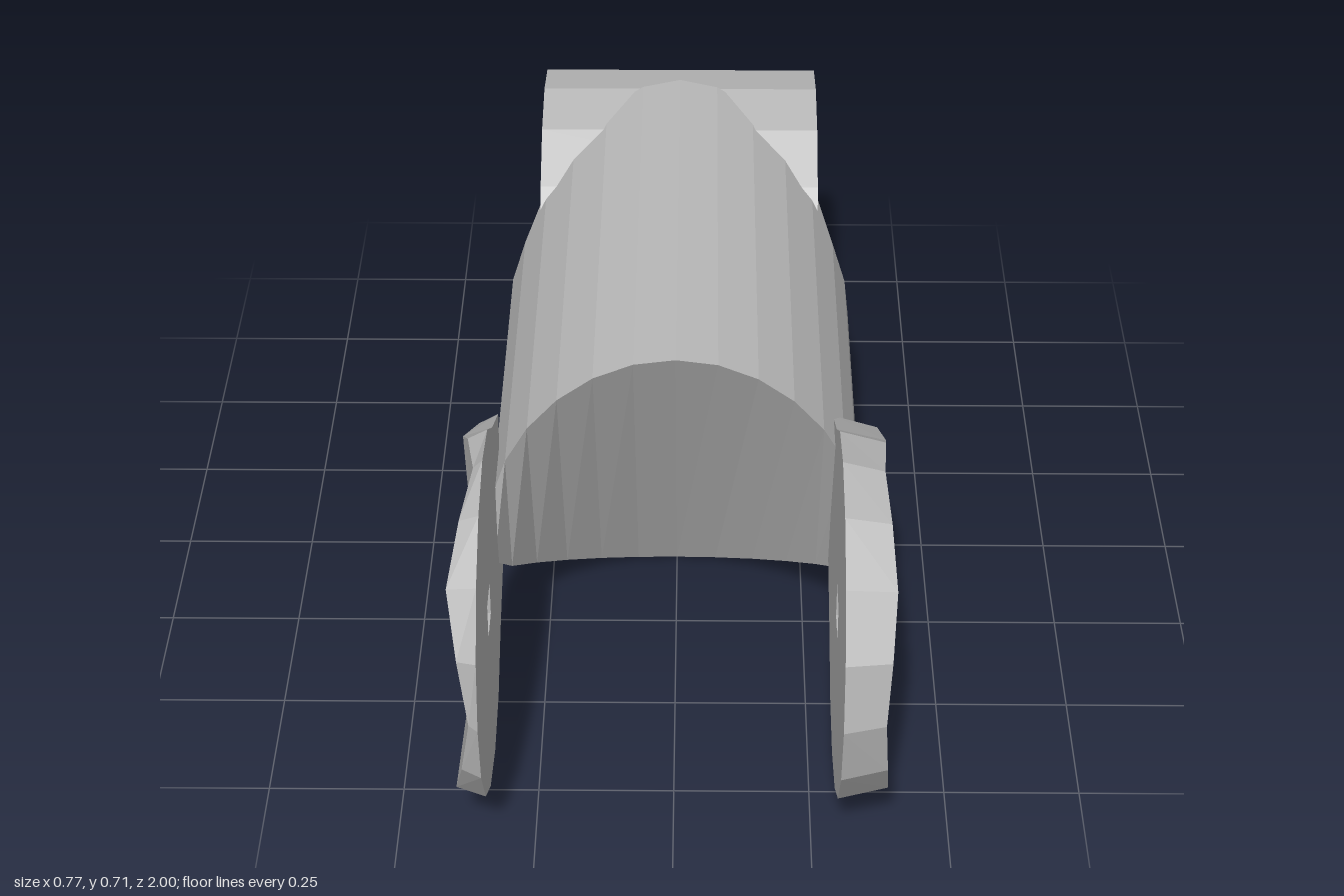
import * as THREE from 'three';

const grey = new THREE.MeshStandardMaterial({ color: 0xb8b8b8, flatShading: true, side: THREE.DoubleSide });
grey.name = 'light grey';

// Skin a list of equal-length rings of [x, y, z] points
function loft(rings, { wrapRings = false, wrapPoints = true, flip = false } = {}) {
  const out = [];
  const n = rings[0].length;
  const tri = (a, b, c) => out.push(...a, ...(flip ? c : b), ...(flip ? b : c));
  for (let j = 0; j < rings.length - (wrapRings ? 0 : 1); j++) {
    const r0 = rings[j], r1 = rings[(j + 1) % rings.length];
    for (let k = 0; k < n - (wrapPoints ? 0 : 1); k++) {
      const m = (k + 1) % n;
      tri(r0[k], r1[k], r0[m]);
      tri(r0[m], r1[k], r1[m]);
    }
  }
  const geo = new THREE.BufferGeometry();
  geo.setAttribute('position', new THREE.Float32BufferAttribute(out, 3));
  geo.computeVertexNormals();
  return geo;
}

function part(name, geo) {
  const mesh = new THREE.Mesh(geo, grey);
  mesh.name = name;
  return mesh;
}

const CY = 0.36, SIDES = 16;

// Disc across x with a square pin hole; rim radius and outer x vary by angle
function disc(cz, rim, xIn, xOut, xHub, outerScale) {
  const ring = (radius, x) => Array.from({ length: SIDES }, (_, k) => {
    const t = (k / SIDES) * Math.PI * 2;
    const r = radius(t, k);
    return [x(t), CY + r * Math.sin(t), cz + r * Math.cos(t)];
  });
  const hole = t => 0.036 / Math.max(Math.abs(Math.cos(t)), Math.abs(Math.sin(t)));
  return loft([
    ring(hole, () => xIn),
    ring(rim, () => xIn),
    ring((t, k) => rim(t, k) * outerScale, xOut),
    ring(hole, () => xHub),
  ], { wrapRings: true, flip: xOut(0) < xIn });
}

// Round body along z: sloped front edge, rear edge cut around the drum
function bodyRings(n) {
  const front = [], rear = [], lip = [];
  for (let k = 0; k < n; k++) {
    const a = (k / n) * Math.PI * 2;
    const x = 0.35 * Math.sin(a), y = 0.355 + 0.353 * Math.cos(a), ax = Math.abs(x);
    const zTop = 0.37 + 0.4 * x * x;
    const zFront = Math.min(zTop, 0.04 + 1.45 * y);
    const zRear = ax > 0.285
      ? -0.665 + Math.sqrt(0.345 ** 2 - (y - CY) ** 2)
      : -0.64 + 0.2 * (ax / 0.285) ** 2;
    front.push([x, y, zFront]);
    rear.push([x, y, zRear]);
    lip.push([THREE.MathUtils.clamp(x, -0.28, 0.28), y, zRear - 0.04]);
  }
  return [front, rear, lip];
}

export function createModel() {
  const model = new THREE.Group();
  model.name = 'fingerSegment';

  // Main body and the sloped face between the fork arms
  const n = 28, rings = bodyRings(n);
  model.add(part('body', loft(rings, { flip: true })));
  const top = [], bottom = [];
  for (let i = -n / 4; i <= n / 4; i++) {
    top.push(rings[0][(i + n) % n]);
    bottom.push(rings[0][n / 2 - i]);
  }
  model.add(part('forkFace', loft([top, bottom], { wrapPoints: false })));

  // Rear knuckle drum
  model.add(part('rearDrum', disc(-0.665, () => 0.335, -0.285, () => 0.285, 0.285, 1)));

  // Fork arms: round lugs whose rear corners reach back onto the body
  const neck = { 7: 0.42, 8: 0.37, 9: 0.42 };
  const rim = (t, k) => neck[k] ?? 0.335;
  const wave = t => Math.sin(2 * t) ** 2;
  model.add(part('leftLug', disc(0.665, rim, 0.295, t => 0.37 + 0.015 * wave(t), 0.375, 0.94)));
  model.add(part('rightLug', disc(0.665, rim, -0.335, t => -0.352 - 0.036 * wave(t), -0.355, 0.95)));

  return model;
}
